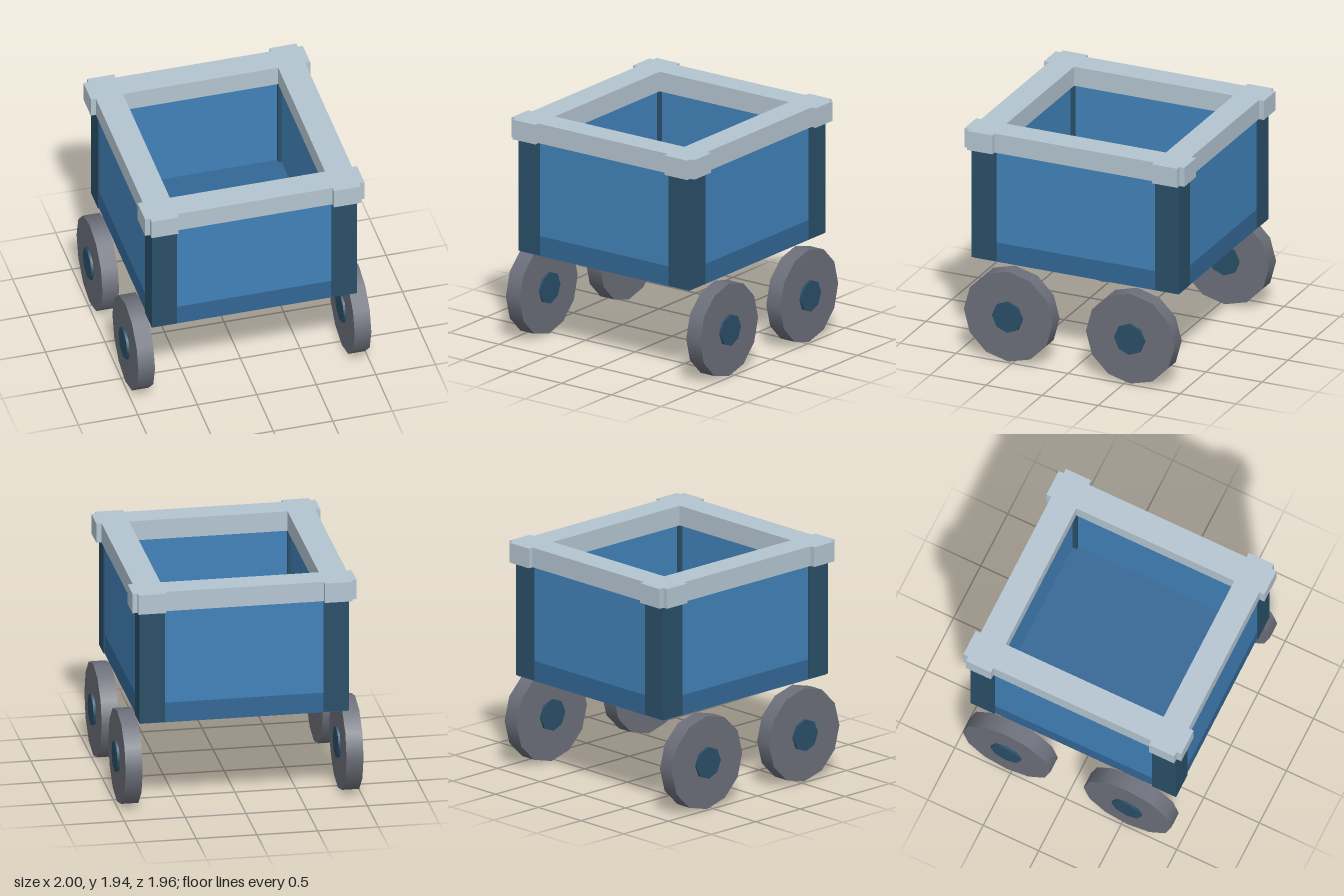
import * as THREE from 'three';

const material = (color) => new THREE.MeshStandardMaterial({ color });

export function createModel() {
  const model = new THREE.Group();
  const wallBlue = material(0x4182b9);
  const baseBlue = material(0x336796);
  const darkBlue = material(0x2a4f68);
  const paleGrey = material(0xb4c5d1);
  const wheelGrey = material(0x6c6f7a);

  const add = (name, geometry, mat, x, y, z) => {
    const mesh = new THREE.Mesh(geometry, mat);
    mesh.name = name;
    mesh.position.set(x, y, z);
    model.add(mesh);
    return mesh;
  };
  const box = (name, mat, w, h, d, x, y, z) =>
    add(name, new THREE.BoxGeometry(w, h, d), mat, x, y, z);

  // Thick floor slab, with walls of the same thickness on top
  const halfX = 0.85, halfZ = 0.915, t = 0.17, floorTop = 0.97, wallTop = 1.77;
  const wallH = wallTop - floorTop, wallY = (wallTop + floorTop) / 2;
  box('floor', baseBlue, halfX * 2, t, halfZ * 2, 0, floorTop - t / 2, 0);
  for (const s of [-1, 1]) {
    box(s > 0 ? 'frontWall' : 'backWall', wallBlue, halfX * 2, wallH, t, 0, wallY, s * (halfZ - t / 2));
    box(s > 0 ? 'leftWall' : 'rightWall', wallBlue, t, wallH, (halfZ - t) * 2, s * (halfX - t / 2), wallY, 0);
  }

  // Corner posts and wheels, mirrored to all four corners
  for (const sx of [-1, 1]) {
    for (const sz of [-1, 1]) {
      const corner = (sz > 0 ? 'front' : 'back') + (sx > 0 ? 'Left' : 'Right');
      box(corner + 'Post', darkBlue, 0.21, 0.962, 0.215, sx * 0.757, 1.289, sz * 0.818);
      const wheel = add(corner + 'Wheel', new THREE.CylinderGeometry(0.395, 0.395, 0.14, 12),
        wheelGrey, sx * 0.909, 0.395, sz * 0.545);
      const hub = add(corner + 'Hub', new THREE.CylinderGeometry(0.135, 0.135, 0.18, 8),
        darkBlue, sx * 0.91, 0.395, sz * 0.545);
      wheel.rotation.z = hub.rotation.z = Math.PI / 2;
    }
  }

  // Top frame: outline of four crossing rails whose ends stick out at the corners
  const ix = 0.652, iz = 0.712, ox = 0.88, oz = 0.938, ex = 0.922, ez = 0.982;
  const quarter = [[ex, iz], [ex, oz], [ox, oz], [ox, ez], [ix, ez], [ix, oz]];
  const outline = [[ox, iz], ...quarter];
  const points = [];
  for (const [sx, sz] of [[1, 1], [-1, 1], [-1, -1], [1, -1]]) {
    const part = outline.map(([x, z]) => new THREE.Vector2(x * sx, z * sz));
    points.push(...(sx * sz > 0 ? part : part.reverse()));
  }
  const frame = new THREE.Shape(points);
  frame.holes.push(new THREE.Path([[-ix, -iz], [-ix, iz], [ix, iz], [ix, -iz]]
    .map(([x, z]) => new THREE.Vector2(x, z))));
  const frameGeometry = new THREE.ExtrudeGeometry(frame, { depth: 0.167, bevelEnabled: false });
  frameGeometry.rotateX(-Math.PI / 2);
  add('topFrame', frameGeometry, paleGrey, 0, wallTop, 0);

  return model;
}
